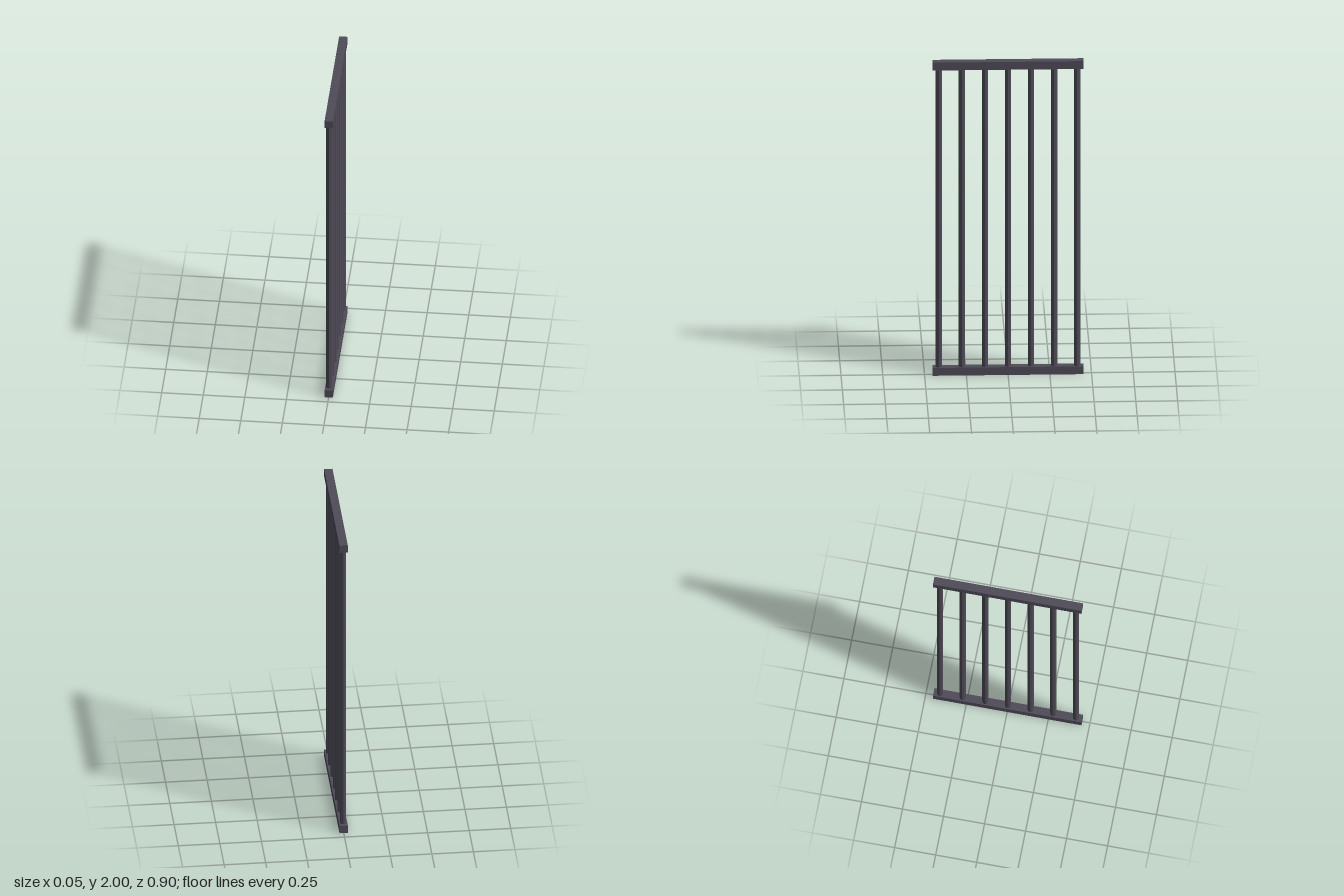
import * as THREE from 'three';

export function createModel() {
  const group = new THREE.Group();
  group.name = 'barredPanel';
  const iron = new THREE.MeshStandardMaterial({ color: 0x4f4b58, flatShading: true });
  iron.name = 'dark iron';

  const height = 2, rail = 0.05, length = 0.905;

  // Bottom and top rails
  const railGeometry = new THREE.BoxGeometry(rail, rail, length);
  for (const [name, y] of [['bottomRail', rail / 2], ['topRail', height - rail / 2]]) {
    const mesh = new THREE.Mesh(railGeometry, iron);
    mesh.name = name;
    mesh.position.y = y;
    group.add(mesh);
  }

  // Seven evenly spaced upright bars, running slightly into the rails
  const barGeometry = new THREE.CylinderGeometry(0.019, 0.019, height - rail, 8);
  const count = 7, spacing = 0.138;
  for (let i = 0; i < count; i++) {
    const bar = new THREE.Mesh(barGeometry, iron);
    bar.name = `bar${i + 1}`;
    bar.position.set(0, height / 2, (i - (count - 1) / 2) * spacing);
    group.add(bar);
  }
  return group;
}
